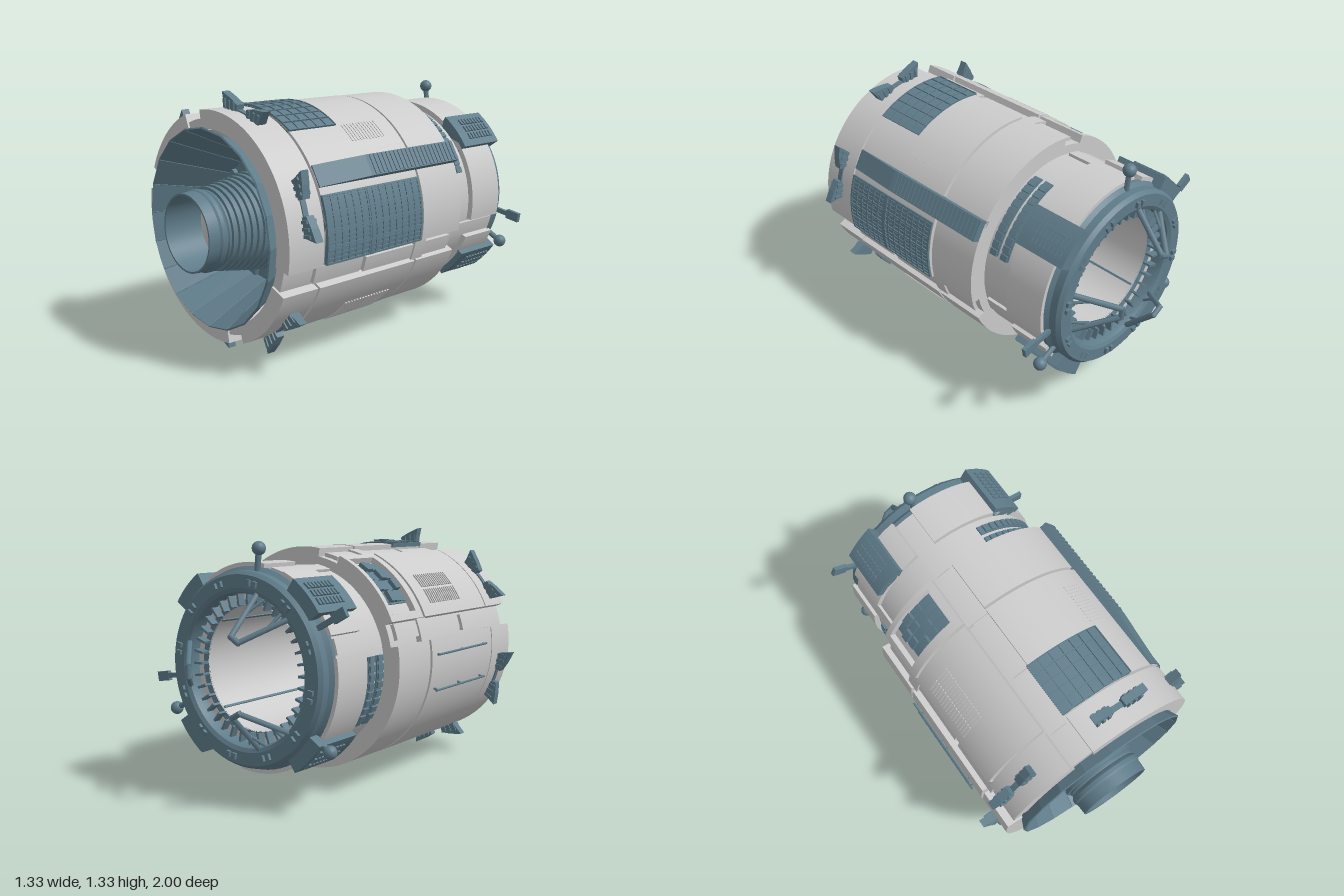
import * as THREE from 'three';
import { toCreasedNormals } from 'three/addons/utils/BufferGeometryUtils.js';

const grey = new THREE.MeshStandardMaterial({ color: 0xcccccc, side: THREE.DoubleSide });
const dark = new THREE.MeshStandardMaterial({ color: 0x607d8b, side: THREE.DoubleSide });
const facet = dark.clone();
facet.flatShading = true;
const rad = THREE.MathUtils.degToRad;

export function createModel() {
  const root = new THREE.Group();
  root.name = 'engineModule';
  root.position.y = 0.68;

  const add = (name, geo, mat) => {
    const m = new THREE.Mesh(geo, mat);
    m.name = name;
    root.add(m);
    return m;
  };
  // Polar point around the long axis (degrees)
  const polar = (r, a, z) => new THREE.Vector3(r * Math.cos(rad(a)), r * Math.sin(rad(a)), z);

  // Revolved part from [radius, z] points
  const lathe = (name, pts, mat, n = 72) => {
    const g = new THREE.LatheGeometry(pts.map(p => new THREE.Vector2(p[0], p[1])), n).rotateX(Math.PI / 2);
    return add(name, mat.flatShading ? g : toCreasedNormals(g, 0.45), mat);
  };
  // Curved block: part of a ring
  const sector = (name, r0, r1, z0, z1, a0, a1, mat) => {
    const s = new THREE.Shape();
    s.absarc(0, 0, r1, rad(a0), rad(a1), false);
    s.absarc(0, 0, r0, rad(a1), rad(a0), true);
    const g = new THREE.ExtrudeGeometry(s, {
      depth: z1 - z0, bevelEnabled: false, curveSegments: Math.max(1, Math.ceil((a1 - a0) / 5))
    }).translate(0, 0, z0);
    return add(name, toCreasedNormals(g, 0.45), mat);
  };
  // Box at a polar position: sizes are radial, tangential, axial
  const box = (name, a, r, z, size, mat) => {
    const m = add(name, new THREE.BoxGeometry(...size), mat);
    m.position.copy(polar(r, a, z));
    m.rotation.z = rad(a);
    return m;
  };
  const bar = (name, p, q, t, mat) => {
    const m = add(name, new THREE.CylinderGeometry(t, t, p.distanceTo(q), 6), mat);
    m.position.copy(p).lerp(q, 0.5);
    m.quaternion.setFromUnitVectors(new THREE.Vector3(0, 1, 0), q.clone().sub(p).normalize());
    return m;
  };
  // Backed panel with raised grid bars
  const grid = (name, z0, z1, a0, a1, nz, na, w) => {
    sector(name, 0.57, 0.588, z0, z1, a0, a1, dark);
    for (let i = 0; i <= nz; i++) {
      const z = z0 + (z1 - z0 - w) * i / nz;
      sector(name + 'Rib', 0.586, 0.594, z, z + w, a0, a1, dark);
    }
    for (let i = 0; i <= na; i++) {
      const a = a0 + (a1 - a0 - w * 90) * i / na;
      sector(name + 'Bar', 0.586, 0.595, z0, z1, a, a + w * 90, dark);
    }
  };

  // Inner hull and plating in four sections, parted by channels
  lathe('innerHull', [[0.34, -0.75], [0.49, -0.75], [0.49, -0.34], [0.54, -0.34], [0.54, 0.83], [0.487, 0.83]], grey);
  const quads = [[-11, 99], [112, 157], [169, 280], [292, 337]];
  quads.forEach(([a0, a1], i) => {
    sector('frontPlate', 0.49, 0.583, 0.63, 0.84, a0, a1, grey);
    sector('mainPlate', 0.53, 0.585, -0.035, 0.617, a0, a1, grey);
    sector('rearPlate', 0.48, 0.52, -0.75, -0.52, a0, a1, grey);
    if (i !== 1) sector('shoulderPlate', 0.48, 0.583, -0.34, -0.05, a0, a1, grey);
  });

  // Shoulder with an open equipment bay
  sector('bayFrame', 0.48, 0.583, -0.34, -0.31, 112, 157, grey);
  sector('bayFrame', 0.48, 0.583, -0.1, -0.05, 112, 157, grey);
  sector('bayFrame', 0.48, 0.583, -0.31, -0.1, 112, 116, grey);
  sector('bayFrame', 0.48, 0.583, -0.31, -0.1, 153, 157, grey);
  sector('bayFloor', 0.52, 0.55, -0.31, -0.1, 116, 153, grey);
  sector('bayTray', 0.54, 0.556, -0.305, -0.105, 118, 147, dark);
  for (let i = 0; i < 4; i++)
    for (let j = 0; j < 4; j++)
      sector('bayUnit', 0.54, 0.562 + 0.008 * ((i + 2 * j) % 3), -0.3 + j * 0.05, -0.26 + j * 0.05, 119 + i * 7, 125 + i * 7, dark);

  // Stepped covers inside the channels
  [105.5, 163, 286, 343].forEach(a => {
    sector('channelCover', 0.53, 0.56, 0.35, 0.65, a - 4.5, a + 4.5, grey);
    sector('channelCover', 0.53, 0.56, -0.3, 0.32, a - 5.5, a + 3, grey);
    sector('channelJoint', 0.53, 0.57, -0.1, -0.02, a - 6, a + 6, grey);
    sector('channelCover', 0.48, 0.505, -0.72, -0.36, a - 4.5, a + 4.5, grey);
  });

  // Front bell, its floor and the ribbed nozzle
  lathe('frontBell', [[0.325, 0.5], [0.335, 0.52], [0.505, 0.885], [0.498, 0.89], [0.33, 0.53]], facet, 20);
  lathe('bellFloor', [[0.34, 0.53], [0.25, 0.53]], dark);
  const ribs = [];
  for (let i = 0; i < 11; i++) {
    const r = 0.27 - i * 0.006, z = 0.52 + i * 0.033;
    ribs.push([r, z], [r, z + 0.02], [r - 0.014, z + 0.022], [r - 0.014, z + 0.033]);
  }
  lathe('nozzle', [...ribs, [0.19, 0.89], [0.2, 0.9], [0.206, 0.91], [0.206, 0.93], [0.199, 0.94],
    [0.196, 1], [0.187, 1], [0.187, 0.78]], dark, 48);
  lathe('nozzlePlug', [[0.188, 0.79], [0.15, 0.805], [0.1, 0.817], [0.05, 0.823], [0, 0.825]], grey, 48);
  for (let a = 0; a < 360; a += 36) box('floorBlock', a, 0.305, 0.54, [0.03, 0.09, 0.03], dark);
  for (let a = 0; a < 360; a += 18)
    bar('bellSeam', polar(0.331, a, 0.532), polar(0.497, a, 0.888), 0.003, dark);

  // Inner chamber with a domed front end
  lathe('chamberWall', [[0.315, 0.25], [0.315, -0.74]], grey);
  const dome = new THREE.SphereGeometry(0.315, 48, 16, 0, Math.PI * 2, 0, Math.PI / 2).rotateX(Math.PI / 2).translate(0, 0, 0.25);
  add('chamberDome', dome, grey);
  for (let a = 45; a < 360; a += 90) box('chamberSeam', a, 0.313, -0.25, [0.008, 0.012, 0.96], dark);

  // Paired wedge blocks round the front
  [18, 77.5, 140, 198, 253, 311].forEach(c => {
    [-1, 1].forEach(s => {
      const pts = [[0.57, 10], [0.58, 13], [0.665, 14.5], [0.64, 9], [0.615, 3.5], [0.57, 4]]
        .map(([r, a]) => { const p = polar(r, c + s * a, 0); return new THREE.Vector2(p.x, p.y); });
      const g = new THREE.ExtrudeGeometry(new THREE.Shape(pts), { depth: 0.044, bevelEnabled: false }).translate(0, 0, 0.708);
      add('wedgeBlock', g, dark);
      for (let i = 0; i < 3; i++) box('wedgeRib', c + s * (6 + i * 3.2), 0.598 + i * 0.006, 0.73, [0.045, 0.016, 0.06], dark);
    });
    sector('wedgeBase', 0.575, 0.59, 0.715, 0.745, c - 4, c + 4, dark);
  });

  // Grid panels
  grid('topGrid', 0.32, 0.617, 57, 100, 5, 7, 0.004);
  grid('sideGrid', -0.03, 0.617, -10.5, 22, 14, 4, 0.01);
  for (let i = 0; i < 12; i++) {
    const a = -10 + Math.floor(i / 3) * 7.9 + (i % 3) * 2.2 + 1.8;
    sector('sideGridSlat', 0.586, 0.593, -0.02, 0.607, a, a + 0.7, dark);
  }
  sector('sideGridDivider', 0.586, 0.597, 0.315, 0.335, -10.5, 22, dark);

  // Louvres
  for (let i = 0; i < 16; i++) {
    const z = 0.06 + i * 0.02;
    sector('louvre', 0.58, 0.592, z, z + 0.009, -61, -41, grey);
    [133, 142.5].forEach(a => sector('louvre', 0.58, 0.592, z, z + 0.009, a, a + 8, grey));
    if (i < 12) sector('louvre', 0.58, 0.588, z, z + 0.009, 46, 57, grey);
  }

  // Long tapered rail with slats
  const prof = [[0.56, -0.34], [0.622, -0.34], [0.622, 0.3], [0.592, 0.615], [0.56, 0.615]].map(p => new THREE.Vector2(...p));
  const railGeo = new THREE.ExtrudeGeometry(new THREE.Shape(prof), { depth: 0.11, bevelEnabled: false })
    .translate(0, 0, -0.055).rotateX(Math.PI / 2);
  add('sideRail', railGeo, dark).rotation.z = rad(31);
  for (let i = 0; i < 22; i++) box('railSlat', 31, 0.62, -0.32 + i * 0.028, [0.014, 0.1, 0.014], dark);

  // Handrails
  [[177, 0.6], [195, 0.61], [268, 0.615]].forEach(([a, r]) => {
    bar('handrail', polar(r, a, 0), polar(r, a, 0.53), 0.006, dark);
    [0.02, 0.265, 0.51].forEach(z => bar('handrailPost', polar(0.57, a, z), polar(r, a, z), 0.006, dark));
  });

  // Double vent bands in the waist
  [[20, 72], [172, 215], [255, 291]].forEach(([a0, a1]) => [-0.41, -0.48].forEach(z => {
    sector('ventBand', 0.48, 0.498, z, z + 0.05, a0, a1, dark);
    for (let a = a0; a < a1 - 3; a += 5) sector('ventTooth', 0.49, 0.508, z + 0.004, z + 0.046, a, a + 3.5, dark);
  }));

  // Rear clamps
  [45, 135, 225, 315].forEach(c => {
    sector('rearClamp', 0.47, 0.55, -0.81, -0.52, c - 11, c + 11, dark);
    for (let i = 0; i < 8; i++)
      [-4, 1, 6].forEach(o => box('clampChip', c + o - 1, 0.55, -0.77 + i * 0.025, [0.018, 0.036, 0.015], dark));
  });

  // Docking ring with inner teeth and latches
  lathe('dockingRing', [[0.314, -0.735], [0.372, -0.745], [0.372, -0.8], [0.38, -0.82], [0.4, -0.83], [0.465, -0.83],
    [0.482, -0.81], [0.482, -0.77], [0.5, -0.75], [0.5, -0.73]], dark);
  for (let a = 0; a < 360; a += 10) box('ringTooth', a, 0.344, -0.765, [0.06, 0.012, 0.045], dark);
  for (let a = 10; a < 360; a += 30)
    [-2.6, 2.6].forEach(o => box('ringLatch', a + o, 0.43, -0.835, [0.03, 0.022, 0.02], dark));

  // Three guide petals leaning inward
  [0, 120, 240].forEach(a => {
    const t = new THREE.Vector3(-Math.sin(rad(a)), Math.cos(rad(a)), 0);
    const pt = (r, s, z) => polar(r, a, z).addScaledVector(t, s);
    [-1, 1].forEach(s => {
      bar('guidePetal', pt(0.375, s * 0.11, -0.81), pt(0.205, s * 0.025, -0.985), 0.015, dark);
      bar('petalBrace', pt(0.375, s * 0.06, -0.81), pt(0.29, s * 0.07, -0.89), 0.008, dark);
    });
    bar('petalTip', pt(0.205, -0.034, -0.985), pt(0.205, 0.034, -0.985), 0.015, dark);
  });

  // Ball antennas and side paddles
  [96, 215, 334].forEach(a => {
    bar('antennaStem', polar(0.46, a, -0.765), polar(0.58, a, -0.765), 0.015, dark);
    add('antennaBall', new THREE.SphereGeometry(0.034, 20, 14), dark).position.copy(polar(0.59, a, -0.765));
  });
  [-9, 151].forEach(a => {
    box('paddleArm', a, 0.55, -0.77, [0.16, 0.025, 0.02], dark);
    box('paddle', a, 0.62, -0.77, [0.08, 0.05, 0.022], dark);
  });

  const model = new THREE.Group();
  model.name = 'model';
  model.add(root);
  return model;
}
